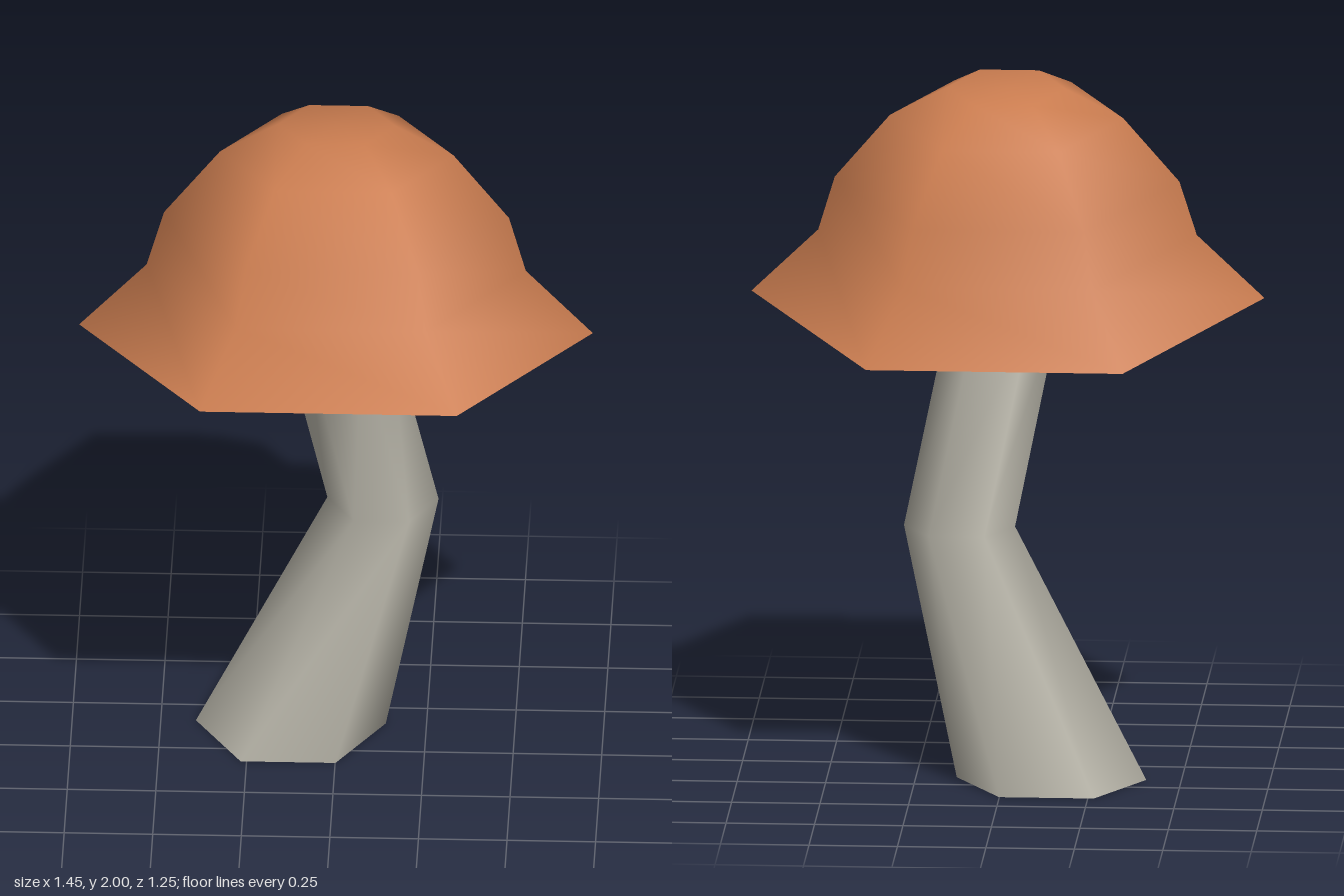
import * as THREE from 'three';
import { mergeVertices } from 'three/addons/utils/BufferGeometryUtils.js';

const SIDES = 6;
const TILT = -0.12;
const CAP_Y = 1.365;

// Bent six-sided tube through three rings, smooth shaded, open at both ends
function stemGeometry() {
  const rings = [ // top, bend, base
    { x: 0, y: CAP_Y, z: 0, r: 0.155, tilt: TILT },
    { x: 0.127, y: 0.73, z: -0.16, r: 0.157, tilt: 0 },
    { x: -0.133, y: 0, z: -0.16, r: 0.268, tilt: 0 },
  ];
  const tube = new THREE.CylinderGeometry(1, 1, 2, SIDES, 2, true, Math.PI / 2);
  const pos = tube.attributes.position;
  const axis = new THREE.Vector3(1, 0, 0);
  const v = new THREE.Vector3();
  for (let i = 0; i < pos.count; i++) {
    v.fromBufferAttribute(pos, i);
    const ring = rings[1 - Math.round(v.y)];
    v.set(v.x * ring.r, 0, v.z * ring.r).applyAxisAngle(axis, ring.tilt);
    pos.setXYZ(i, v.x + ring.x, v.y + ring.y, v.z + ring.z);
  }
  tube.deleteAttribute('uv');
  tube.deleteAttribute('normal');
  const merged = mergeVertices(tube, 1e-4);
  merged.computeVertexNormals();
  return merged;
}

export function createModel() {
  const capOrange = new THREE.MeshStandardMaterial({ color: 0xcb7d50 });
  const stemGrey = new THREE.MeshStandardMaterial({ color: 0xb9b6aa, side: THREE.DoubleSide });

  const model = new THREE.Group();
  model.name = 'mushroom';

  const addPart = (parent, name, geometry, material) => {
    const mesh = new THREE.Mesh(geometry, material);
    mesh.name = name;
    parent.add(mesh);
    return mesh;
  };

  addPart(model, 'stem', stemGeometry(), stemGrey);

  // Tilted bell-shaped cap with a flared brim
  const cap = new THREE.Group();
  cap.name = 'cap';
  cap.position.y = CAP_Y;
  cap.rotation.x = TILT;
  model.add(cap);

  const profile = [
    [0.725, 0], [0.535, 0.187], [0.487, 0.347],
    [0.33, 0.535], [0.166, 0.622], [0, 0.622],
  ].map(([r, h]) => new THREE.Vector2(r, h));
  addPart(cap, 'capTop', new THREE.LatheGeometry(profile, SIDES, Math.PI / 2), capOrange);

  // Flat underside of the cap
  const underside = new THREE.CircleGeometry(0.725, SIDES).rotateX(Math.PI / 2);
  addPart(cap, 'capUnderside', underside, stemGrey);

  return model;
}
